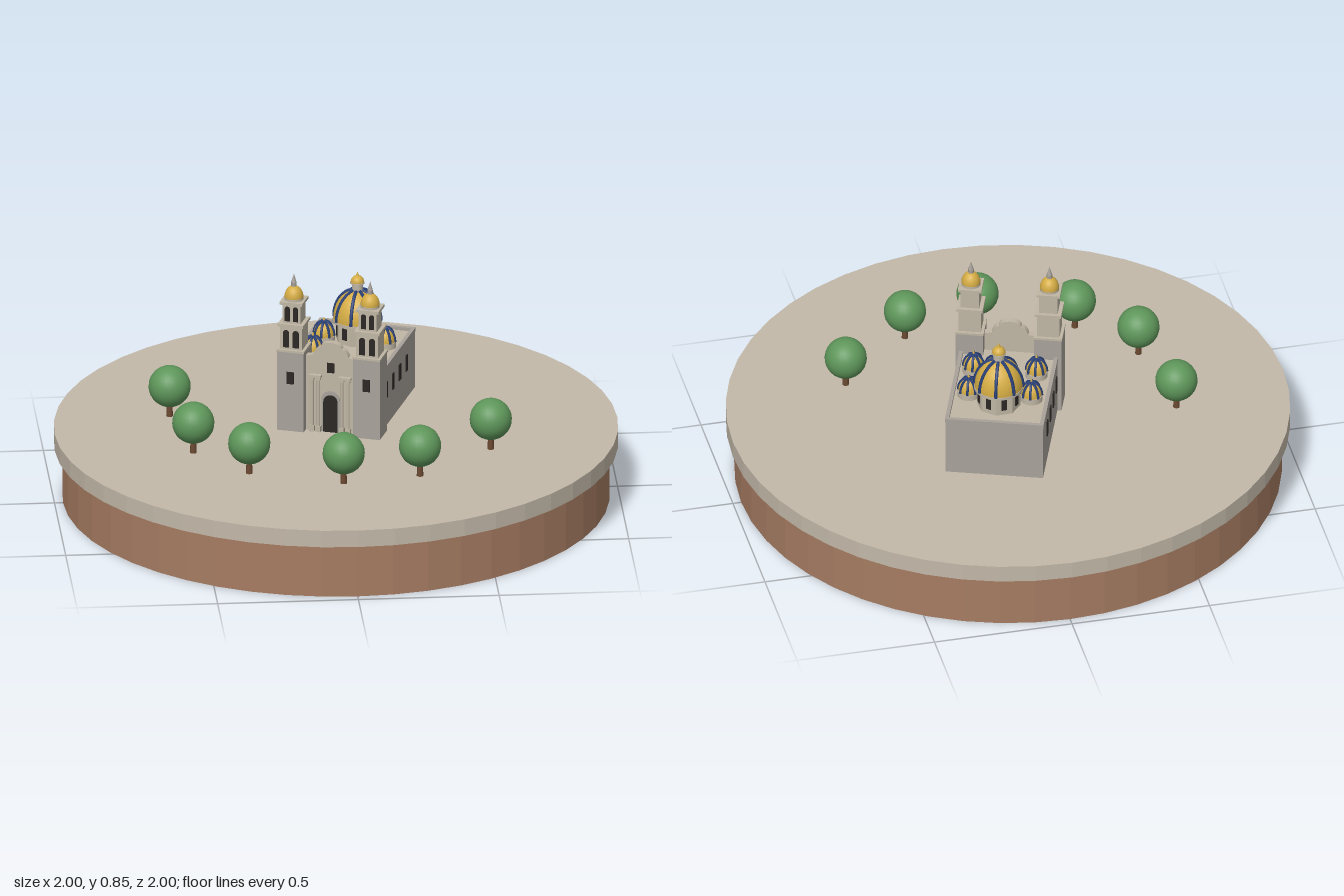
import * as THREE from 'three';

const mat = (name, color, extra = {}) => {
  const m = new THREE.MeshStandardMaterial({ color, ...extra });
  m.name = name;
  return m;
};

export function createModel() {
  const paving = mat('paving', 0xc2b8a8, { flatShading: true });
  const soil = mat('soil', 0xa67c62, { flatShading: true });
  const wall = mat('wall stone', 0xa8a29a);
  const stone = mat('pale stone', 0xc0b6a4);
  const gold = mat('gold', 0xd4ac44);
  const blue = mat('blue', 0x284078);
  const leaf = mat('leaf', 0x5e965a);
  const bark = mat('bark', 0x6b4a32);
  const dark = mat('dark opening', 0x2c2725);

  const G = 0.263; // ground level
  const ROOF = 0.475;

  const add = (parent, name, geo, material, x = 0, y = 0, z = 0) => {
    const m = new THREE.Mesh(geo, material);
    m.name = name;
    m.position.set(x, y, z);
    parent.add(m);
    return m;
  };
  // Box and cylinder given by their bottom and top heights
  const box = (p, name, material, w, d, y0, y1, x = 0, z = 0) =>
    add(p, name, new THREE.BoxGeometry(w, y1 - y0, d), material, x, (y0 + y1) / 2, z);
  const cyl = (p, name, material, rTop, rBottom, y0, y1, x = 0, z = 0, sides = 16) =>
    add(p, name, new THREE.CylinderGeometry(rTop, rBottom, y1 - y0, sides), material, x, (y0 + y1) / 2, z);
  const group = (parent, name, x = 0, y = 0, z = 0) => {
    const g = new THREE.Group();
    g.name = name;
    g.position.set(x, y, z);
    parent.add(g);
    return g;
  };
  // Arched thin plate facing +z, standing on y0
  const arch = (p, name, material, w, h, x, y0, z, t = 0.006) => {
    const s = new THREE.Shape();
    s.moveTo(-w / 2, 0);
    s.lineTo(w / 2, 0);
    s.lineTo(w / 2, h - w / 2);
    s.absarc(0, h - w / 2, w / 2, 0, Math.PI, false);
    s.closePath();
    const geo = new THREE.ExtrudeGeometry(s, { depth: t, bevelEnabled: false, curveSegments: 8 });
    return add(p, name, geo, material, x, y0, z);
  };
  // Gold half dome, base at local y = 0
  const halfDome = (p, name, r, h, y) => {
    const geo = new THREE.SphereGeometry(r, 24, 10, 0, Math.PI * 2, 0, Math.PI / 2);
    geo.scale(1, h / r, 1);
    return add(p, name, geo, gold, 0, y, 0);
  };
  // Eight blue ribs running over a dome
  const ribs = (p, r, h, tube, y) => {
    for (let i = 0; i < 8; i++) {
      const geo = new THREE.TorusGeometry(r, tube, 6, 12, Math.PI / 2);
      geo.scale(1, h / r, 1);
      add(p, 'domeRib', geo, blue, 0, y, 0).rotation.y = (i * Math.PI) / 4;
    }
  };

  const model = new THREE.Group();
  model.name = 'churchOnPlaza';

  // Round base
  cyl(model, 'soilBase', soil, 0.97, 0.97, 0, 0.2, 0, 0, 48);
  cyl(model, 'plaza', paving, 1, 1, 0.2, G, 0, 0, 48);

  // Trees around the front
  [[-0.58, -0.139], [-0.524, 0.214], [-0.342, 0.425], [-0.016, 0.545], [0.259, 0.497], [0.529, 0.262]]
    .forEach(([x, z]) => {
      const tree = group(model, 'tree', x, 0, z);
      cyl(tree, 'trunk', bark, 0.009, 0.012, G, 0.33, 0, 0, 8);
      add(tree, 'crown', new THREE.SphereGeometry(0.075, 24, 16), leaf, 0, 0.377, 0);
    });

  // Church: origin at the middle of the back wall, nave running toward +z
  const church = group(model, 'church', 0.1445, 0, -0.405);
  church.rotation.y = -0.349;
  const W = 0.348, L = 0.47;
  box(church, 'nave', wall, W, L, G, ROOF, 0, L / 2);
  box(church, 'roof', stone, W - 0.02, L - 0.02, ROOF, ROOF + 0.003, 0, L / 2);
  for (const s of [-1, 1]) {
    box(church, 'sideParapet', wall, 0.014, L, ROOF, 0.49, s * (W / 2 - 0.005), L / 2);
    for (let i = 0; i < 4; i++)
      box(church, 'sideWindow', dark, 0.008, 0.022, 0.37, 0.43, s * W / 2, 0.117 + i * 0.089);
  }
  box(church, 'backParapet', wall, W + 0.004, 0.014, ROOF, 0.49, 0, 0.005);

  // Facade with a curved gable
  const gable = new THREE.Shape();
  gable.moveTo(-0.095, G);
  gable.lineTo(0.095, G);
  gable.lineTo(0.095, 0.545);
  gable.lineTo(0.065, 0.55);
  gable.quadraticCurveTo(0.058, 0.575, 0.04, 0.58);
  gable.quadraticCurveTo(0.035, 0.6, 0, 0.602);
  gable.quadraticCurveTo(-0.035, 0.6, -0.04, 0.58);
  gable.quadraticCurveTo(-0.058, 0.575, -0.065, 0.55);
  gable.lineTo(-0.095, 0.545);
  gable.closePath();
  add(church, 'facade', new THREE.ExtrudeGeometry(gable, { depth: 0.025, bevelEnabled: false }), stone, 0, 0, 0.465);
  arch(church, 'doorSurround', wall, 0.068, 0.155, 0, G, 0.49, 0.003);
  arch(church, 'door', dark, 0.052, 0.14, 0, G, 0.49);
  box(church, 'facadeWindow', dark, 0.026, 0.008, 0.488, 0.525, 0, 0.49);
  for (const x of [-0.066, -0.043, 0.043, 0.066]) {
    cyl(church, 'column', stone, 0.006, 0.006, G, 0.47, x, 0.499, 10);
    box(church, 'columnFoot', stone, 0.017, 0.017, G, 0.285, x, 0.498);
    box(church, 'columnHead', stone, 0.015, 0.015, 0.46, 0.47, x, 0.498);
  }
  for (const s of [-1, 1])
    box(church, 'entablature', stone, 0.044, 0.016, 0.468, 0.478, s * 0.0545, 0.498);

  // Twin bell towers
  for (const s of [-1, 1]) {
    const tower = group(church, 'bellTower', s * 0.14, 0, 0.473);
    box(tower, 'towerBase', wall, 0.098, 0.098, G, 0.562, 0, 0);
    box(tower, 'baseCornice', stone, 0.102, 0.102, 0.562, 0.57, 0, 0);
    box(tower, 'towerWindow', dark, 0.026, 0.008, 0.443, 0.488, 0, 0.049);
    box(tower, 'lowerBelfry', stone, 0.08, 0.08, 0.57, 0.657, 0, 0);
    box(tower, 'middleCornice', stone, 0.094, 0.094, 0.657, 0.667, 0, 0);
    box(tower, 'upperBelfry', stone, 0.066, 0.066, 0.667, 0.738, 0, 0);
    box(tower, 'topCornice', stone, 0.084, 0.084, 0.738, 0.748, 0, 0);
    for (const k of [-1, 1]) {
      arch(tower, 'lowerBellOpening', dark, 0.022, 0.065, k * 0.018, 0.578, 0.037);
      arch(tower, 'upperBellOpening', dark, 0.018, 0.055, k * 0.015, 0.675, 0.03);
    }
    cyl(tower, 'cupolaDrum', stone, 0.034, 0.034, 0.748, 0.757);
    halfDome(tower, 'cupola', 0.034, 0.043, 0.757);
    cyl(tower, 'finialBase', wall, 0.01, 0.01, 0.796, 0.812, 0, 0, 8);
    cyl(tower, 'finialSpire', wall, 0, 0.01, 0.812, 0.846, 0, 0, 8);
  }

  // Great dome on its octagonal drum
  const dome = group(church, 'greatDome', 0, 0, 0.135);
  const drum = cyl(dome, 'drum', stone, 0.078, 0.078, ROOF, 0.55, 0, 0, 8);
  drum.geometry = drum.geometry.toNonIndexed();
  drum.geometry.computeVertexNormals();
  const apothem = 0.078 * Math.cos(Math.PI / 8);
  for (let i = 0; i < 8; i++) {
    const face = group(dome, 'drumFace');
    face.rotation.y = ((i + 0.5) * Math.PI) / 4;
    box(face, 'drumWindow', dark, 0.02, 0.006, 0.497, 0.54, 0, apothem);
  }
  cyl(dome, 'drumCornice', stone, 0.088, 0.088, 0.55, 0.56, 0, 0, 24);
  halfDome(dome, 'domeShell', 0.086, 0.108, 0.56);
  ribs(dome, 0.086, 0.108, 0.0065, 0.56);
  cyl(dome, 'lantern', stone, 0.02, 0.02, 0.66, 0.697, 0, 0, 12);
  cyl(dome, 'lanternCornice', stone, 0.026, 0.026, 0.693, 0.698, 0, 0, 16);
  halfDome(dome, 'lanternCap', 0.024, 0.024, 0.698);
  cyl(dome, 'lanternTip', gold, 0, 0.008, 0.718, 0.737, 0, 0, 8);

  // Four small ribbed domes on the roof
  for (const x of [-0.112, 0.112]) for (const z of [0.175, 0.323]) {
    const small = group(church, 'smallDome', x, 0, z);
    cyl(small, 'smallDrum', stone, 0.04, 0.04, ROOF, 0.5, 0, 0, 16);
    halfDome(small, 'smallDomeShell', 0.037, 0.05, 0.5);
    ribs(small, 0.037, 0.05, 0.005, 0.5);
    cyl(small, 'smallFinial', gold, 0, 0.007, 0.55, 0.568, 0, 0, 8);
  }

  return model;
}
